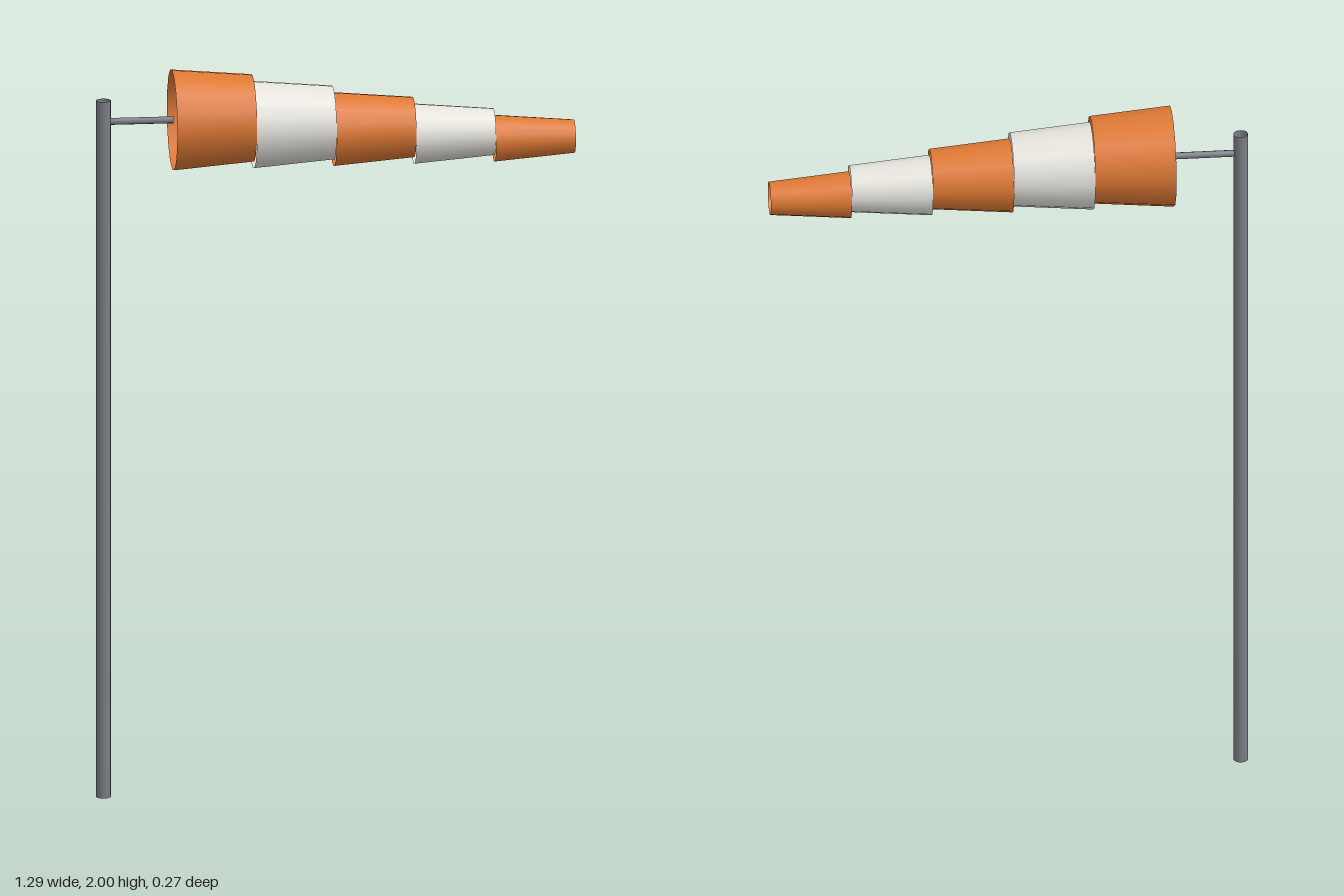
import * as THREE from 'three';

const material = (name, color) => {
  const m = new THREE.MeshStandardMaterial({ color, side: THREE.DoubleSide });
  m.name = name;
  return m;
};

export function createModel() {
  const orange = material('orange fabric', 0xe07a35);
  const white = material('white fabric', 0xe6e4dd);
  const grey = material('grey metal', 0x7b8087);

  const group = new THREE.Group();
  group.name = 'windsock';

  // Open tube; add() names and places it
  const add = (name, geometry, mat, x, y) => {
    const mesh = new THREE.Mesh(geometry, mat);
    mesh.name = name;
    mesh.position.set(x, y, 0);
    group.add(mesh);
  };
  // Tube along +x, from radius r0 at the left end to r1 at the right end
  const tubeX = (r0, r1, length, sides) =>
    new THREE.CylinderGeometry(r1, r0, length, sides, 1, true).rotateZ(-Math.PI / 2);

  // Upright pole and the arm that carries the sock
  const poleX = -0.625, poleHeight = 1.922, mouthX = -0.44, mouthY = 1.8635;
  add('pole', new THREE.CylinderGeometry(0.02, 0.02, poleHeight, 12, 1, true), grey, poleX, poleHeight / 2);
  const armLength = mouthX - poleX + 0.003;
  add('arm', tubeX(0.0095, 0.0095, armLength, 8), grey, poleX + armLength / 2, mouthY);

  // Five tapering bands, each a step lower so their lower lips line up
  const count = 5, length = 0.2165, r = 0.1365, taper = 0.0183;
  for (let i = 0; i < count; i++) {
    const r0 = r - taper * i;
    add(`sockBand${i + 1}`, tubeX(r0, r0 - taper, length, 16), i % 2 ? white : orange,
      mouthX + length * (i + 0.5), mouthY - taper * i);
  }

  return group;
}
